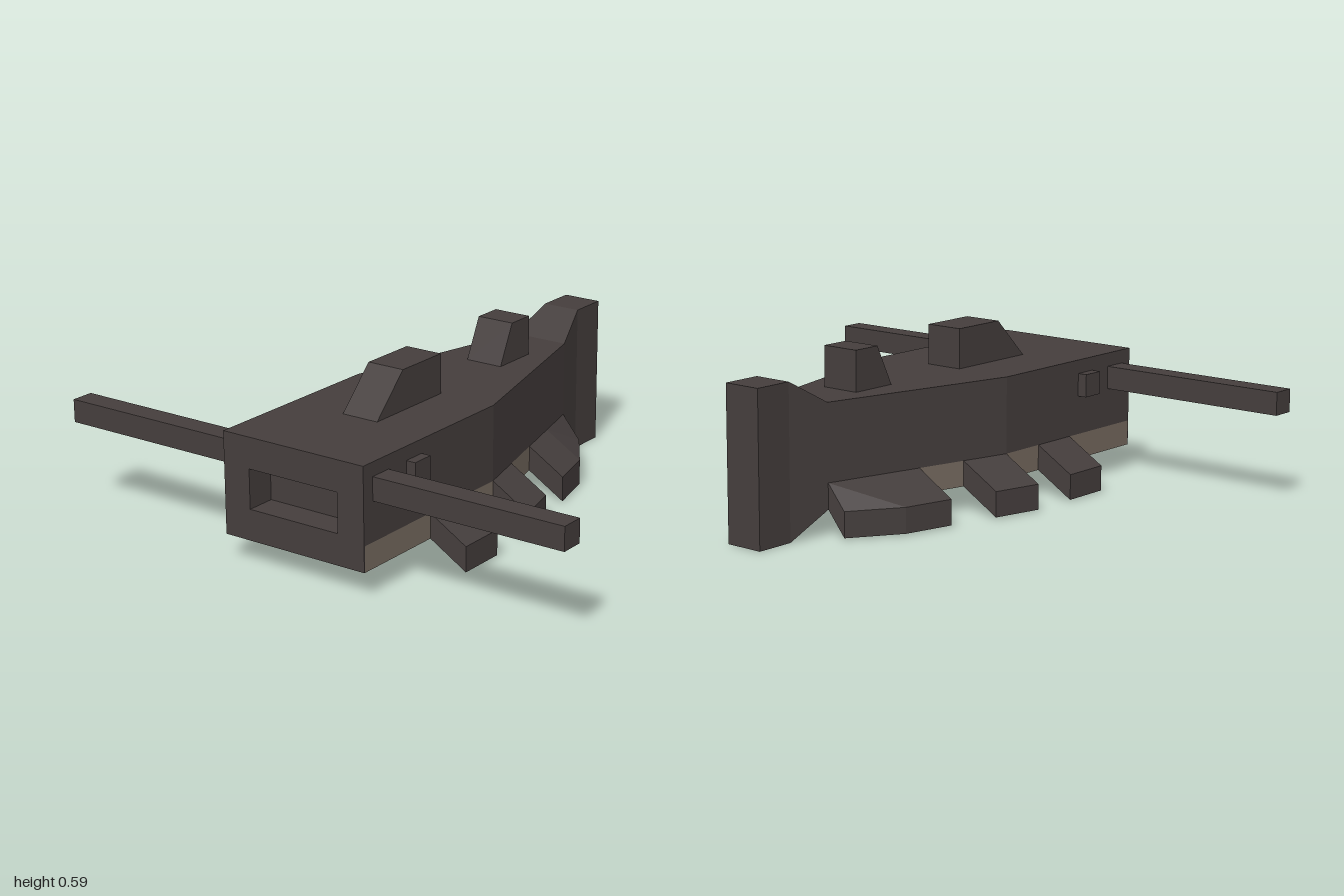
import * as THREE from 'three';

const dark = new THREE.MeshStandardMaterial({ color: 0x453e3d, flatShading: true });
dark.name = 'dark hull';
const light = new THREE.MeshStandardMaterial({ color: 0x776b60, flatShading: true });
light.name = 'belly brown';

// Half width of the hull at a given z: straight nose, tapering towards the tail
const hullWidth = (z) => 0.285 - 0.25 * Math.max(0, 0.14 - z);

// Loft through four-cornered sections, ordered front to back, corners anticlockwise from the front
function loft(sections) {
  const pos = [];
  const tri = (...points) => points.forEach((p) => pos.push(...p));
  const [a, b, c, d] = sections[0];
  tri(a, b, c, a, c, d);
  for (let i = 0; i < sections.length - 1; i++) {
    const s = sections[i], t = sections[i + 1];
    for (let j = 0; j < 4; j++) {
      const k = (j + 1) % 4;
      tri(s[j], t[j], s[k], s[k], t[j], t[k]);
    }
  }
  const [e, f, g, h] = sections[sections.length - 1];
  tri(e, g, f, e, h, g);
  const geo = new THREE.BufferGeometry();
  geo.setAttribute('position', new THREE.Float32BufferAttribute(pos, 3));
  geo.computeVertexNormals();
  return geo;
}

const rect = (z, w, y0, y1) => [[-w, y0, z], [w, y0, z], [w, y1, z], [-w, y1, z]];

// Slanted fin section running from the hull side down to its tip
const finSection = (z, tip) => {
  const root = hullWidth(z);
  return [[root, 0.09, z], [tip, 0.005, z], [tip, 0.095, z], [root, 0.18, z]];
};
const mirrored = (section) => section.map(([x, y, z]) => [-x, y, z]).reverse();

export function createModel() {
  const model = new THREE.Group();
  const add = (name, geo, mat = dark) => {
    const mesh = new THREE.Mesh(geo, mat);
    mesh.name = name;
    model.add(mesh);
    return mesh;
  };
  const box = (name, x, y, z, w, h, d) =>
    add(name, new THREE.BoxGeometry(w, h, d)).position.set(x, y, z);

  // Nose block with the rectangular opening
  const depth = 0.107, front = 0.855;
  const face = new THREE.Shape([[-0.285, 0.18], [0.285, 0.18], [0.285, 0.45], [-0.285, 0.45]]
    .map(([x, y]) => new THREE.Vector2(x, y)));
  face.holes.push(new THREE.Path([[-0.18, 0.2], [-0.18, 0.34], [0.18, 0.34], [0.18, 0.2]]
    .map(([x, y]) => new THREE.Vector2(x, y))));
  const nose = new THREE.ExtrudeGeometry(face, { depth, bevelEnabled: false });
  nose.translate(0, 0, front - depth);
  add('nose', nose);

  // Upper hull, and the lighter belly with a dark front plate
  const hull = (zs, y0, y1) => loft(zs.map((z) => rect(z, hullWidth(z), y0, y1)));
  add('upperHull', hull([front - depth, 0.14, -0.57], 0.18, 0.45));
  add('belly', hull([front - 0.004, 0.14, -0.57], 0.09, 0.18), light);
  box('chinPlate', 0, 0.135, front - 0.002, 0.57, 0.09, 0.004);

  // Flared tail
  add('tail', loft([
    rect(-0.57, hullWidth(-0.57), 0.09, 0.45),
    rect(-0.713, 0.071, 0, 0.535),
    rect(-0.855, 0.071, 0, 0.535),
  ]));

  // Dorsal fins with sloping fronts
  const dorsal = (name, z0, z1, z2) => {
    const geo = loft([
      rect(z0, 0.071, 0.445, 0.45),
      rect(z1, 0.071, 0.445, 0.592),
      rect(z2, 0.071, 0.445, 0.592),
    ]);
    add(name, geo);
  };
  dorsal('frontDorsalFin', 0.5, 0.357, 0.143);
  dorsal('rearDorsalFin', -0.215, -0.285, -0.392);

  // Side fins, each listed as [z, tip x] from front to back
  const fins = {
    FrontFin: [[0.5, 0.427], [0.32, 0.427]],
    MiddleFin: [[0.14, 0.427], [-0.037, 0.384]],
    RearFin: [[-0.215, 0.337], [-0.395, 0.293], [-0.57, 0.178]],
  };
  for (const [name, stations] of Object.entries(fins)) {
    const sections = stations.map(([z, tip]) => finSection(z, tip));
    add('left' + name, loft(sections));
    add('right' + name, loft(sections.map(mirrored)));
  }

  // Long side booms and the small studs behind them
  for (const [side, s] of [['left', 1], ['right', -1]]) {
    box(side + 'Boom', s * 0.6425, 0.36, 0.765, 0.715, 0.082, 0.084);
    box(side + 'Stud', s * 0.302, 0.36, 0.588, 0.036, 0.082, 0.082);
  }
  return model;
}
